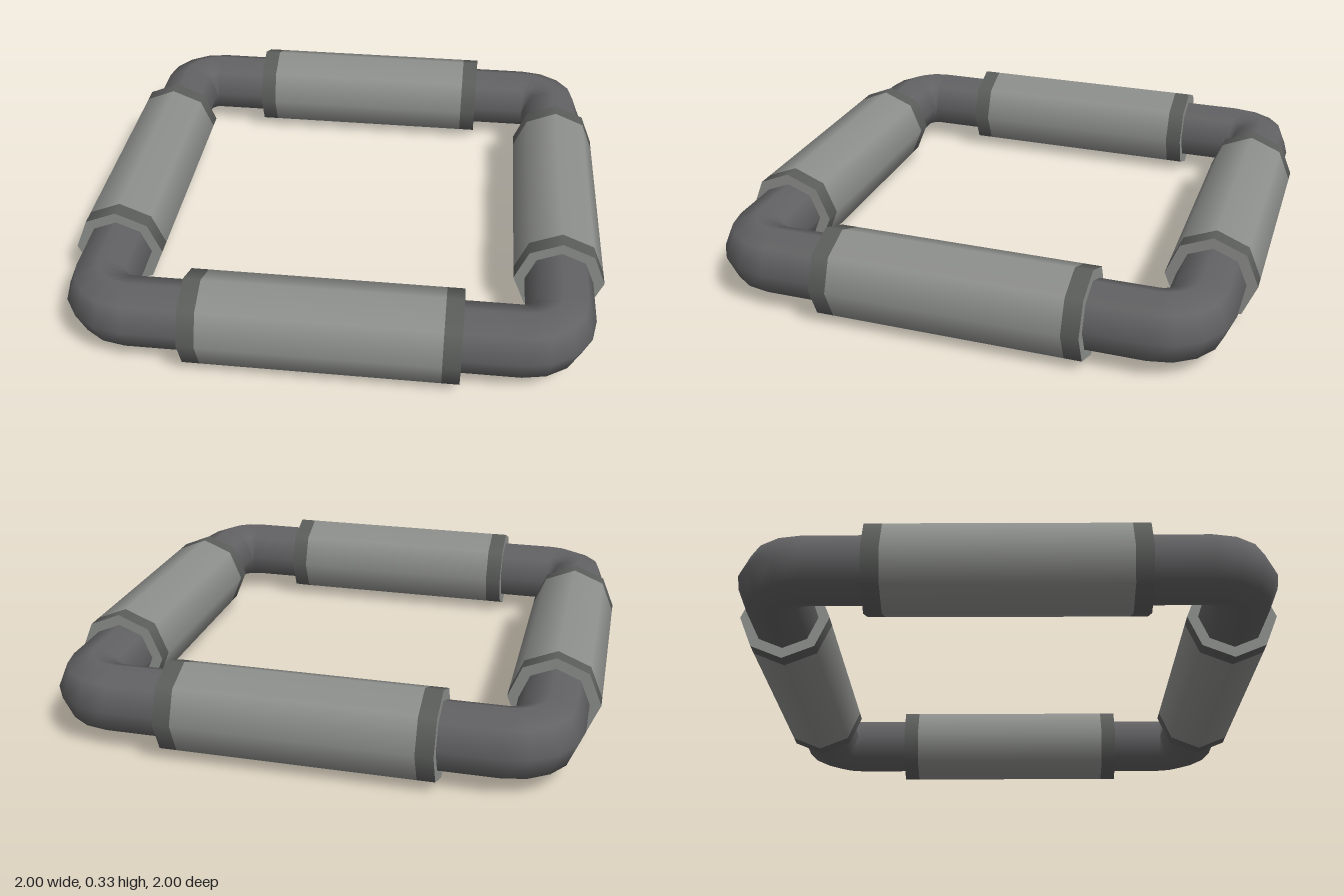
import * as THREE from 'three';

const SIDES = 8;
const AXIS = 0.833;    // distance of each pipe run from the centre
const HEIGHT = 0.168;  // height of the pipe axis
const PIPE_R = 0.126;
const SLEEVE_R = 0.167;
const BEND = 0.132;    // elbow bend radius
const HALF = 0.49;     // half length of a sleeve
const BAND = 0.063;    // width of the dark end bands

const material = (name, color) => {
  const m = new THREE.MeshStandardMaterial({ color });
  m.name = name;
  return m;
};

// Smooth eight-sided open tube along x, from x0 to x1
function tubeX(radius, x0, x1) {
  return new THREE.CylinderGeometry(radius, radius, x1 - x0, SIDES, 1, true)
    .rotateZ(-Math.PI / 2)
    .translate((x0 + x1) / 2, 0, 0);
}

export function createModel() {
  const pipeGrey = material('dark pipe grey', 0x626264);
  const bandGrey = material('band grey', 0x5c5e5c);
  const sleeveGrey = material('sleeve grey', 0x8e908d);

  const model = new THREE.Group();
  model.name = 'squarePipeLoop';

  const add = (parent, name, geometry, mat) => {
    const mesh = new THREE.Mesh(geometry, mat);
    mesh.name = name;
    parent.add(mesh);
    return mesh;
  };

  ['front', 'left', 'back', 'right'].forEach((sideName, i) => {
    const side = new THREE.Group();
    side.name = sideName + 'Side';
    side.rotation.y = i * Math.PI / 2;
    model.add(side);

    const run = new THREE.Group();
    run.name = sideName + 'Run';
    run.position.set(0, HEIGHT, AXIS);
    side.add(run);

    // Straight pipe running through the sleeve
    const corner = AXIS - BEND;
    add(run, 'pipe', tubeX(PIPE_R, -corner, corner), pipeGrey);

    // Thick sleeve with a dark band and a flat rim at each end
    add(run, 'sleeve', tubeX(SLEEVE_R, -HALF + BAND, HALF - BAND), sleeveGrey);
    for (const s of [-1, 1]) {
      const inner = s * (HALF - BAND), outer = s * HALF;
      add(run, 'sleeveBand', tubeX(SLEEVE_R, Math.min(inner, outer), Math.max(inner, outer)), bandGrey);
      const rim = new THREE.RingGeometry(PIPE_R - 0.005, SLEEVE_R, SIDES)
        .rotateY(s * Math.PI / 2)
        .translate(outer, 0, 0);
      add(run, 'sleeveRim', rim, sleeveGrey);
    }

    // Quarter-turn elbow joining this run to the next
    const elbow = new THREE.TorusGeometry(BEND, PIPE_R, SIDES, 4, Math.PI / 2).rotateX(Math.PI / 2);
    add(side, 'elbow', elbow, pipeGrey).position.set(corner, HEIGHT, corner);
  });

  return model;
}
